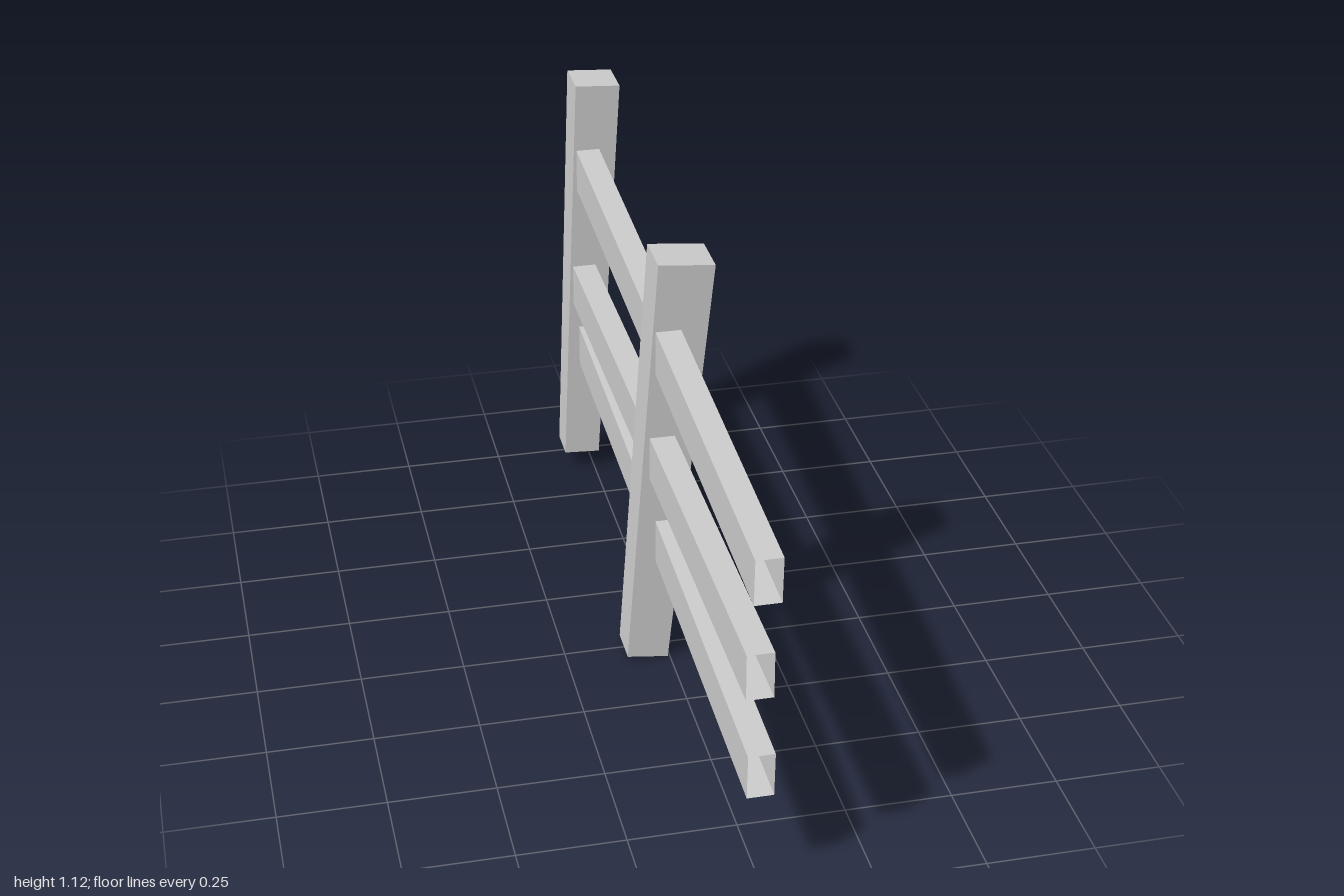
import * as THREE from 'three';

const material = new THREE.MeshStandardMaterial({
  color: 0xcccccc, flatShading: true, side: THREE.DoubleSide,
});

// Four-sided beam joining two rings of four corners, with an optional cap on the end ring
function beam(name, start, end, capped) {
  const positions = [];
  const quad = (a, b, c, d) => positions.push(...a, ...b, ...c, ...a, ...c, ...d);
  for (let i = 0; i < 4; i++) {
    const j = (i + 1) % 4;
    quad(start[i], start[j], end[j], end[i]);
  }
  if (capped) quad(...end);
  const geometry = new THREE.BufferGeometry();
  geometry.setAttribute('position', new THREE.Float32BufferAttribute(positions, 3));
  geometry.computeVertexNormals();
  const mesh = new THREE.Mesh(geometry, material);
  mesh.name = name;
  return mesh;
}

// Level of a post: x range, z range, and the heights of its left and right edges
const postRing = ([x0, x1, z0, z1, y0, y1]) =>
  [[x0, y0, z1], [x1, y1, z1], [x1, y1, z0], [x0, y0, z0]];

// Hollow rail sloping along z, its ends cut square to its length
function rail(name, x, zFront, yFront, zBack, yBack) {
  const w = 0.03, h = 0.055;
  const slope = (yBack - yFront) / (zFront - zBack);
  const ring = (z, y) => [[-w, -h], [-w, h], [w, h], [w, -h]]
    .map(([dx, dy]) => [x + dx, y + dy, z + dy * slope]);
  return beam(name, ring(zFront, yFront), ring(zBack, yBack), false);
}

export function createModel() {
  const group = new THREE.Group();
  group.name = 'fence';

  // Leaning posts, slightly wider at the top and open underneath
  group.add(
    beam('middlePost',
      postRing([-0.105, -0.005, -0.035, 0.063, 0.012, 0]),
      postRing([-0.03, 0.103, -0.045, 0.073, 1.065, 1.053]), true),
    beam('rearPost',
      postRing([-0.08, 0.013, -0.985, -0.892, 0.052, 0.047]),
      postRing([-0.035, 0.079, -1, -0.885, 1.122, 1.115], ), true),
  );

  // Rails running through the middle post into the rear post
  group.add(
    rail('topRail', -0.006, 0.997, 0.795, -0.93, 0.892),
    rail('middleRail', -0.02, 1, 0.57, -0.93, 0.56),
    rail('bottomRail', -0.006, 0.97, 0.295, -0.93, 0.382),
  );
  return group;
}
